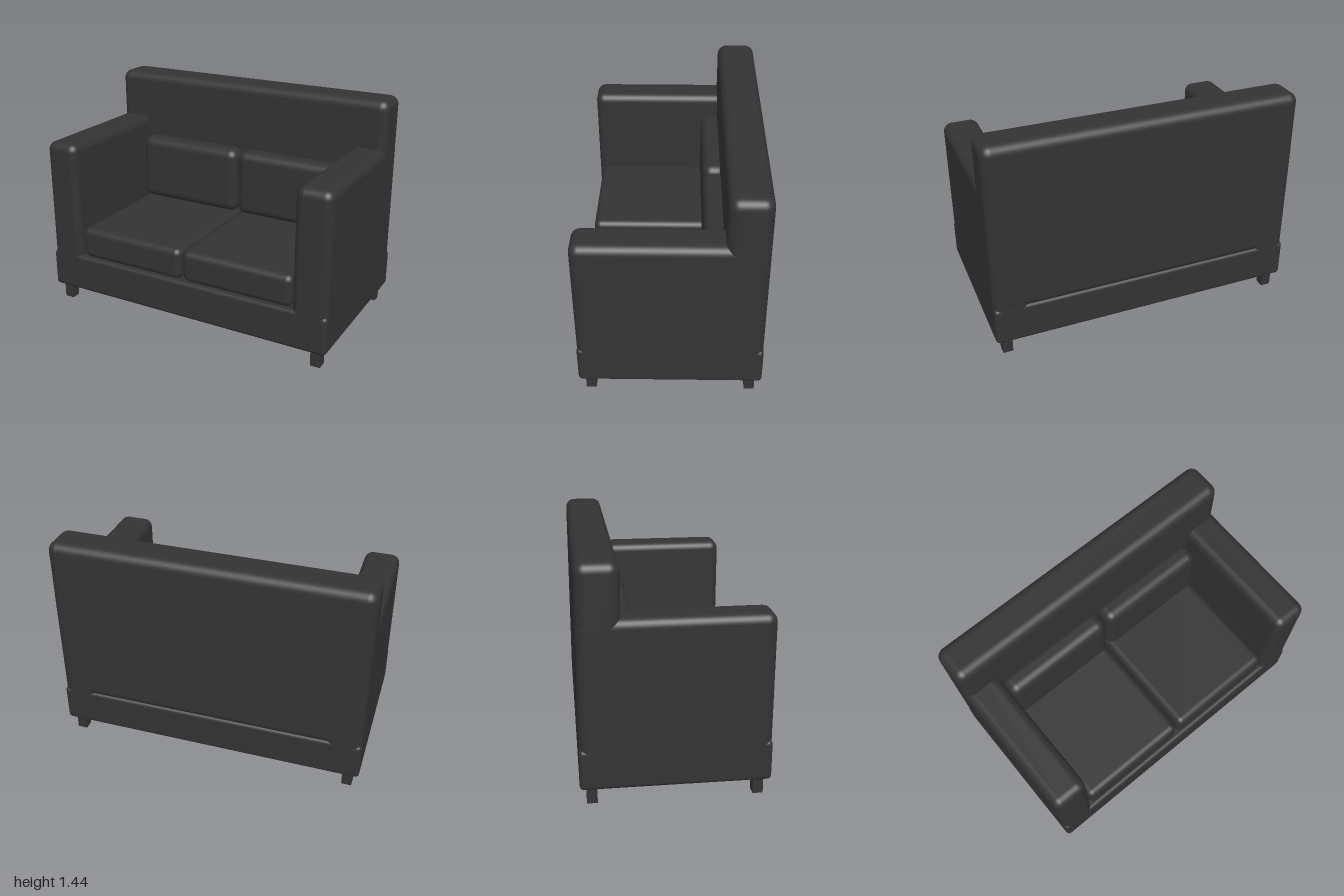
import * as THREE from 'three';
import { RoundedBoxGeometry } from 'three/addons/geometries/RoundedBoxGeometry.js';

export function createModel() {
  const sofa = new THREE.Group();
  sofa.name = 'sofa';
  const fabric = new THREE.MeshStandardMaterial({ color: 0x333333 });
  fabric.name = 'charcoal';

  // Box spanning two corners; rounded when a radius is given
  function block(name, [x0, y0, z0], [x1, y1, z1], radius = 0) {
    const size = [x1 - x0, y1 - y0, z1 - z0];
    const geometry = radius
      ? new RoundedBoxGeometry(...size, 5, radius)
      : new THREE.BoxGeometry(...size);
    const mesh = new THREE.Mesh(geometry, fabric);
    mesh.name = name;
    mesh.position.set((x0 + x1) / 2, (y0 + y1) / 2, (z0 + z1) / 2);
    sofa.add(mesh);
  }

  // Frame
  block('base', [-1, 0.105, -0.56], [1, 0.355, 0.56], 0.025);
  block('backrest', [-1, 0.33, -0.56], [1, 1.44, -0.31], 0.06);

  for (const side of [1, -1]) {
    const label = side > 0 ? 'left' : 'right';
    // Span x0..x1 mirrored to this side
    const pair = (name, [x0, x1], [y0, y1], [z0, z1], radius) => {
      const [a, b] = side > 0 ? [x0, x1] : [-x1, -x0];
      block(label + name, [a, y0, z0], [b, y1, z1], radius);
    };
    pair('Arm', [0.77, 1], [0.15, 1.125], [-0.559, 0.56], 0.055);
    pair('SeatCushion', [0.007, 0.763], [0.345, 0.555], [-0.33, 0.535], 0.045);
    pair('BackCushion', [0.007, 0.763], [0.553, 1], [-0.35, -0.195], 0.06);
    pair('FrontLeg', [0.893, 0.957], [0, 0.12], [0.458, 0.52]);
    pair('BackLeg', [0.893, 0.957], [0, 0.12], [-0.52, -0.458]);
  }
  return sofa;
}
